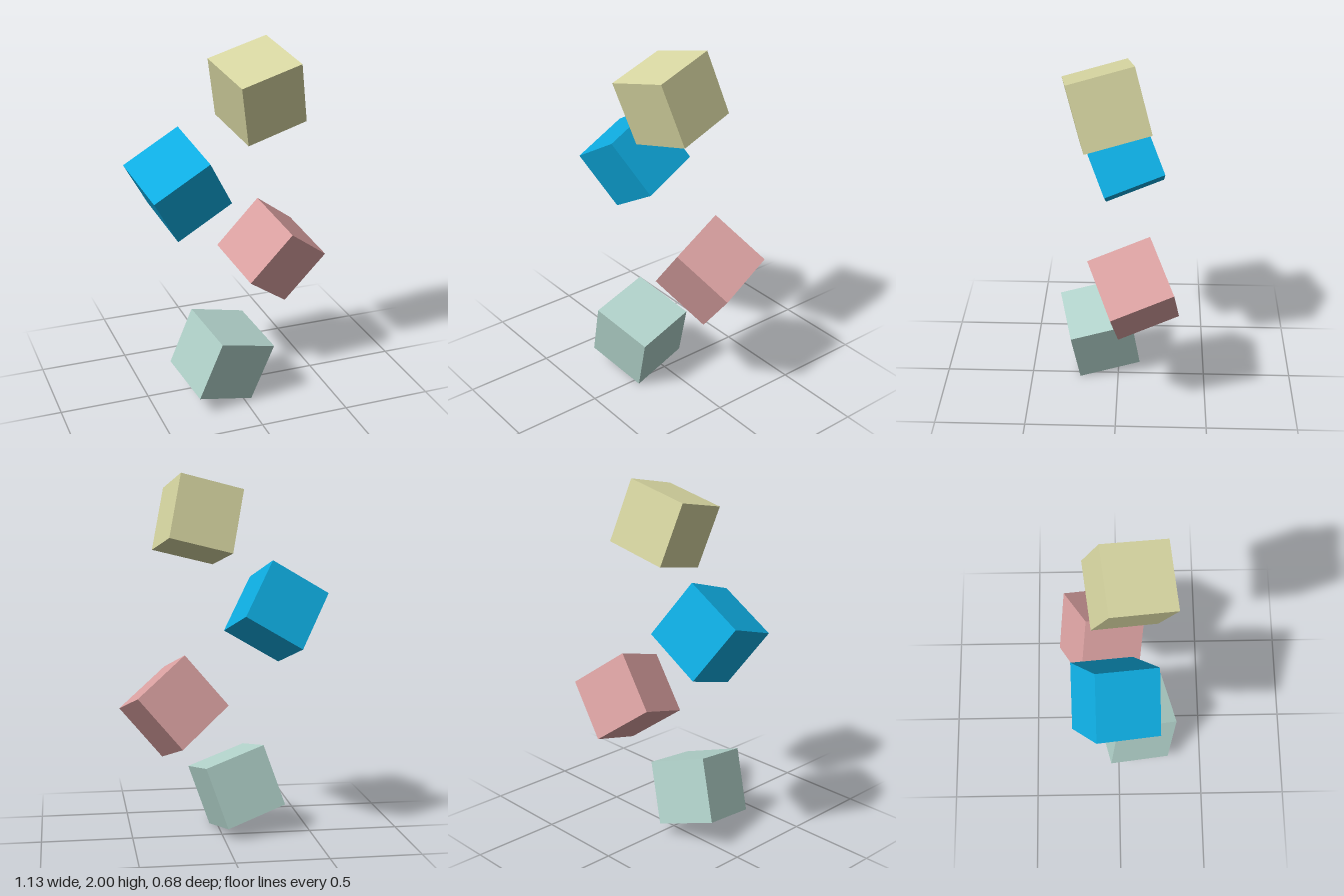
import * as THREE from 'three';

const SIDE = 0.356;

// Each cube: its centre, the direction of its right side and of its front side
const CUBES = [
  { name: 'sageCube', color: 0xb2d3cb, center: [-0.095, 0.256, 0.108], right: [0.33, -0.105, -0.078], front: [0.06, -0.065, 0.342] },
  { name: 'pinkCube', color: 0xdaa1a1, center: [0.279, 0.756, -0.093], right: [0.26, -0.205, -0.13], front: [0.076, -0.107, 0.332] },
  { name: 'blueCube', color: 0x0eade2, center: [-0.293, 1.253, -0.02], right: [0.305, 0.179, -0.003], front: [0.07, -0.112, 0.33] },
  { name: 'yellowCube', color: 0xd8d7a2, center: [0.127, 1.752, 0.057], right: [0.34, 0.085, -0.043], front: [0.065, -0.08, 0.343] },
];

// Turn two rough directions into an exact rotation
function orientation(right, front) {
  const x = new THREE.Vector3(...right).normalize();
  const y = new THREE.Vector3(...front).cross(x).normalize();
  const z = new THREE.Vector3().crossVectors(x, y);
  return new THREE.Matrix4().makeBasis(x, y, z);
}

export function createModel() {
  const model = new THREE.Group();
  model.name = 'tumblingCubes';
  const geometry = new THREE.BoxGeometry(SIDE, SIDE, SIDE);

  // Four tumbling cubes, from the lowest to the highest
  for (const { name, color, center, right, front } of CUBES) {
    const material = new THREE.MeshStandardMaterial({ color });
    material.name = name.replace('Cube', '');
    const cube = new THREE.Mesh(geometry, material);
    cube.name = name;
    cube.position.set(...center);
    cube.quaternion.setFromRotationMatrix(orientation(right, front));
    model.add(cube);
  }
  return model;
}
